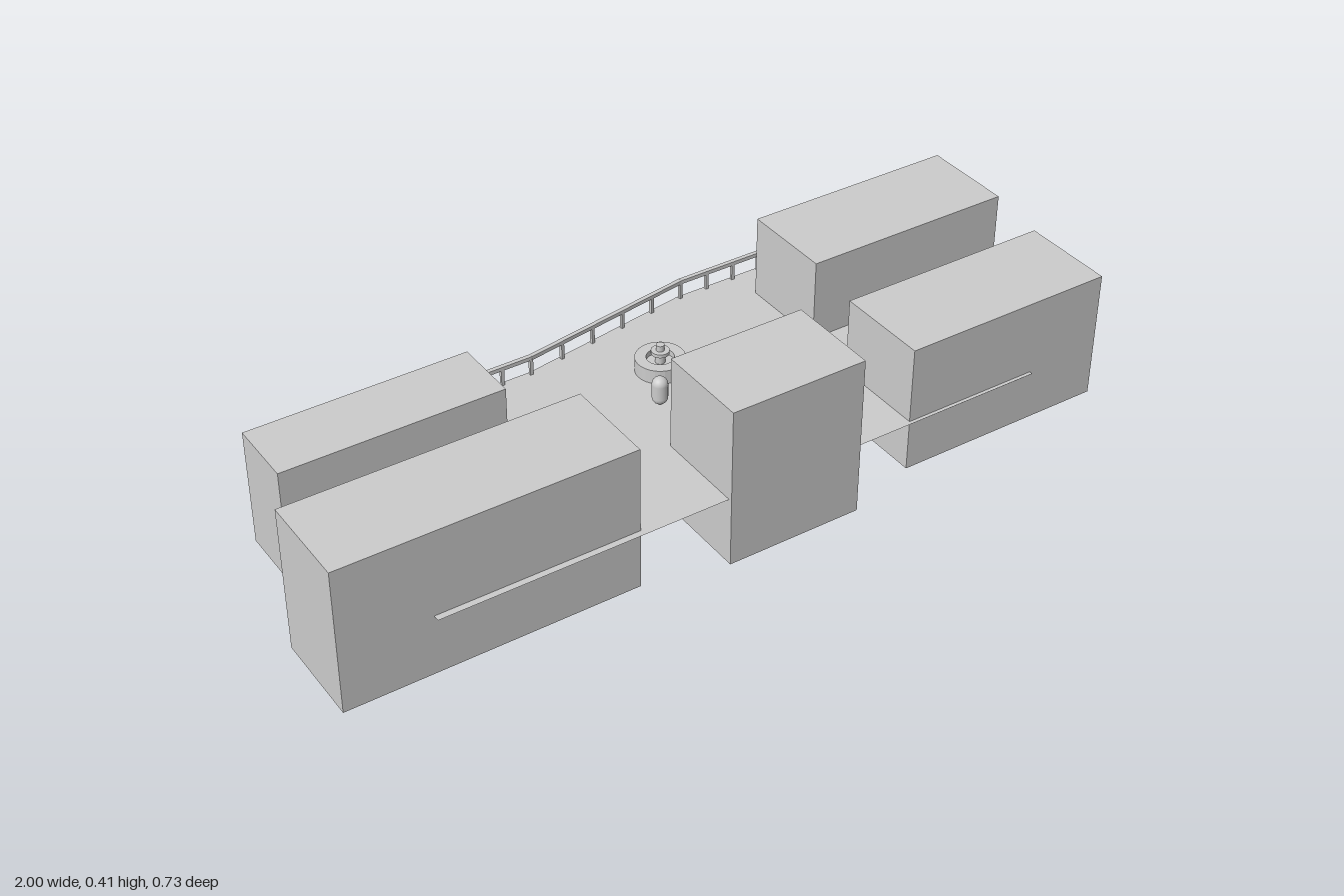
import * as THREE from 'three';

const grey = new THREE.MeshStandardMaterial({ color: 0xcccccc });
const thin = new THREE.MeshStandardMaterial({ color: 0xcccccc, side: THREE.DoubleSide });
const FLOOR = 0.178;

function add(parent, name, geometry, material = grey) {
  const mesh = new THREE.Mesh(geometry, material);
  mesh.name = name;
  parent.add(mesh);
  return mesh;
}

// Box given by its extents on each axis
function block(parent, name, [x0, x1], [y0, y1], [z0, z1]) {
  const mesh = add(parent, name, new THREE.BoxGeometry(x1 - x0, y1 - y0, z1 - z0));
  mesh.position.set((x0 + x1) / 2, (y0 + y1) / 2, (z0 + z1) / 2);
  return mesh;
}

// Runs a callback for each straight piece of an [x, z] path
function eachSegment(path, fn) {
  for (let i = 0; i + 1 < path.length; i++) {
    const [x0, z0] = path[i], [x1, z1] = path[i + 1];
    fn({ x0, z0, x1, z1, dx: x1 - x0, dz: z1 - z0, length: Math.hypot(x1 - x0, z1 - z0), i });
  }
}

export function createModel() {
  const model = new THREE.Group();
  model.name = 'plaza';

  // Buildings around the terrace
  const buildings = new THREE.Group();
  buildings.name = 'buildings';
  model.add(buildings);
  block(buildings, 'frontRightBuilding', [-1, -0.28], [0.024, 0.394], [0.104, 0.34]);
  block(buildings, 'frontMiddleBuilding', [-0.063, 0.285], [0.002, 0.415], [0.127, 0.365]);
  block(buildings, 'frontLeftBuilding', [0.437, 0.985], [0.045, 0.372], [0.108, 0.347]);
  block(buildings, 'backRightBuilding', [-0.925, -0.378], [0.06, 0.355], [-0.216, -0.046]);
  block(buildings, 'backLeftBuilding', [0.45, 0.996], [0.03, 0.388], [-0.275, -0.039]);

  // Terrace floor, a thin sheet with a bent back edge
  const backEdge = [[-0.78, -0.289], [-0.18, -0.289], [0.28, -0.364], [0.79, -0.364]];
  const outline = [...backEdge, [0.79, 0.356], [-0.78, 0.356]];
  const shape = new THREE.Shape(outline.map(([x, z]) => new THREE.Vector2(x, -z)));
  add(model, 'terraceFloor', new THREE.ShapeGeometry(shape).rotateX(-Math.PI / 2), thin)
    .position.y = FLOOR;

  // Retaining wall hanging below the back edge
  const wall = new THREE.Group();
  wall.name = 'retainingWall';
  model.add(wall);
  const wallHeight = FLOOR - 0.012;
  eachSegment(backEdge, (s) => {
    const panel = add(wall, 'wallPanel', new THREE.PlaneGeometry(s.length, wallHeight), thin);
    panel.position.set((s.x0 + s.x1) / 2, FLOOR - wallHeight / 2, (s.z0 + s.z1) / 2);
    panel.rotation.y = Math.PI - Math.atan2(s.dz, s.dx);
  });

  // Railing: one handrail piece per segment, posts at even steps
  const railing = new THREE.Group();
  railing.name = 'railing';
  model.add(railing);
  const railPath = [[-0.72, -0.281], [-0.18, -0.281], [0.285, -0.357], [0.82, -0.357]];
  const steps = [7, 5, 7];
  const postGeometry = new THREE.BoxGeometry(0.008, 0.05, 0.008);
  eachSegment(railPath, (s) => {
    const angle = -Math.atan2(s.dz, s.dx);
    const rail = add(railing, 'handrail', new THREE.BoxGeometry(s.length, 0.01, 0.011));
    rail.position.set((s.x0 + s.x1) / 2, 0.225, (s.z0 + s.z1) / 2);
    rail.rotation.y = angle;
    for (let k = s.i ? 1 : 0; k <= steps[s.i]; k++) {
      const t = k / steps[s.i];
      const post = add(railing, 'post', postGeometry);
      post.position.set(s.x0 + s.dx * t, 0.197, s.z0 + s.dz * t);
      post.rotation.y = angle;
    }
  });

  // Fountain: round basin with a stepped centre
  const fountain = new THREE.Group();
  fountain.name = 'fountain';
  fountain.position.set(0.08, FLOOR, -0.133);
  model.add(fountain);
  const basin = [[0, -0.004], [0.06, -0.004], [0.06, 0.036], [0.033, 0.036], [0.033, 0.022], [0, 0.022]];
  const lathe = new THREE.LatheGeometry(basin.map(([r, y]) => new THREE.Vector2(r, y)), 32).toNonIndexed();
  lathe.computeVertexNormals();
  add(fountain, 'basin', lathe);
  for (const [name, radius, y0, y1] of [
    ['pillar', 0.012, 0.02, 0.052], ['bowl', 0.022, 0.046, 0.055], ['nozzle', 0.01, 0.055, 0.07],
  ]) {
    add(fountain, name, new THREE.CylinderGeometry(radius, radius, y1 - y0, 24))
      .position.y = (y0 + y1) / 2;
  }

  // Rounded bollard standing on the terrace
  add(model, 'bollard', new THREE.CapsuleGeometry(0.019, 0.034, 8, 24))
    .position.set(0.005, 0.216, -0.02);

  return model;
}
